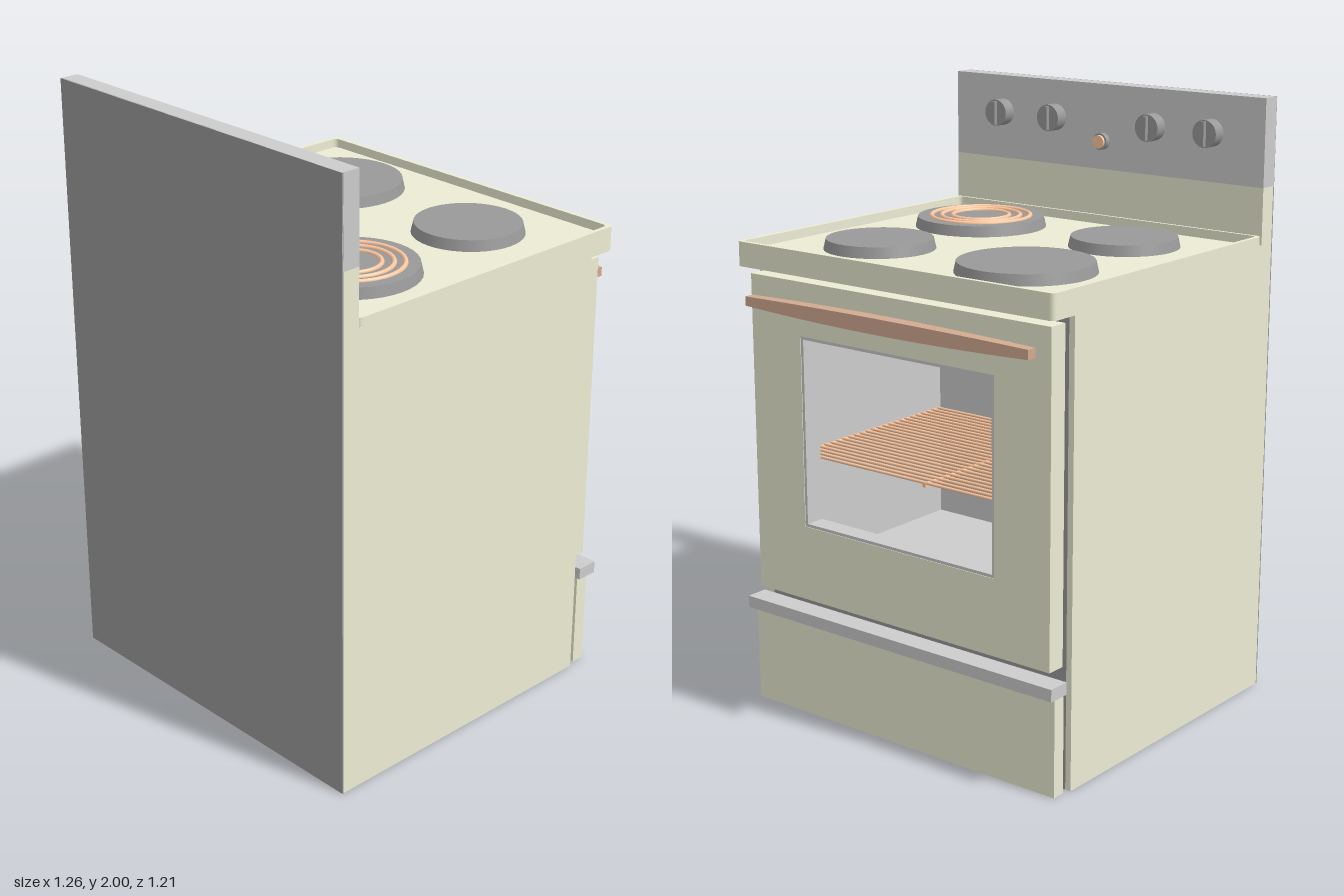
import * as THREE from 'three';

const mat = (color) => new THREE.MeshStandardMaterial({ color });
const grey = mat(0xcccccc);
const dark = mat(0x999999);
const cream = mat(0xececd4);
const copper = mat(0xffc8a0);
const wood = mat(0xd2aa90);

export function createModel() {
  const model = new THREE.Group();

  const add = (name, geometry, material, parent = model) => {
    const mesh = new THREE.Mesh(geometry, material);
    mesh.name = name;
    parent.add(mesh);
    return mesh;
  };
  // Box given by its lower and upper limits on each axis
  const box = (name, material, x0, x1, y0, y1, z0, z1, parent) => {
    const mesh = add(name, new THREE.BoxGeometry(x1 - x0, y1 - y0, z1 - z0), material, parent);
    mesh.position.set((x0 + x1) / 2, (y0 + y1) / 2, (z0 + z1) / 2);
    return mesh;
  };
  // Trace a rectangle with rounded corners
  const roundRect = (path, x0, x1, y0, y1, r) => {
    path.moveTo(x0 + r, y0);
    path.lineTo(x1 - r, y0);
    path.quadraticCurveTo(x1, y0, x1, y0 + r);
    path.lineTo(x1, y1 - r);
    path.quadraticCurveTo(x1, y1, x1 - r, y1);
    path.lineTo(x0 + r, y1);
    path.quadraticCurveTo(x0, y1, x0, y1 - r);
    path.lineTo(x0, y0 + r);
    path.quadraticCurveTo(x0, y0, x0 + r, y0);
    return path;
  };
  const rect = (path, [x0, x1, y0, y1]) => {
    path.moveTo(x0, y0);
    path.lineTo(x1, y0);
    path.lineTo(x1, y1);
    path.lineTo(x0, y1);
    path.closePath();
    return path;
  };
  // Upright plate with a rectangular opening
  const frame = (name, material, outer, inner, z0, z1, parent) => {
    const shape = rect(new THREE.Shape(), outer);
    shape.holes.push(rect(new THREE.Path(), inner));
    const geometry = new THREE.ExtrudeGeometry(shape, { depth: z1 - z0, bevelEnabled: false });
    add(name, geometry, material, parent).position.z = z0;
  };

  // Cabinet shell
  for (const s of [-1, 1]) {
    const a = s * 0.61, b = s * 0.63;
    box('sidePanel', cream, Math.min(a, b), Math.max(a, b), 0, 1.53, -0.46, 0.6);
  }
  box('bottomPanel', dark, -0.61, 0.61, 0, 0.02, -0.46, 0.6);
  box('backPanel', dark, -0.63, 0.63, 0, 2, 0.6, 0.605);
  frame('frontFrame', dark, [-0.61, 0.61, 0.02, 1.48], [-0.55, 0.55, 0.45, 1.38], -0.46, -0.44);

  // Oven cavity
  const oven = new THREE.Group();
  oven.name = 'ovenCavity';
  model.add(oven);
  box('ovenFloor', grey, -0.56, 0.56, 0.44, 0.45, -0.44, 0.345, oven);
  box('ovenCeiling', dark, -0.56, 0.56, 1.38, 1.39, -0.44, 0.345, oven);
  box('ovenBack', grey, -0.55, 0.55, 0.45, 1.38, 0.335, 0.345, oven);
  for (const s of [-1, 1]) {
    box('ovenSide', grey, s * 0.555 - 0.005, s * 0.555 + 0.005, 0.45, 1.38, -0.44, 0.345, oven);
  }

  // Wire rack
  const rack = new THREE.Group();
  rack.name = 'ovenRack';
  oven.add(rack);
  for (let i = 0; i <= 24; i++) {
    const wire = add('rackWire', new THREE.CylinderGeometry(0.005, 0.005, 1.08, 6), copper, rack);
    wire.rotation.z = Math.PI / 2;
    wire.position.set(0, 0.84, -0.39 + i * 0.029);
  }
  for (const x of [-0.54, 0, 0.54]) box('rackBar', copper, x - 0.007, x + 0.007, 0.826, 0.838, -0.395, 0.31, rack);

  // Heating element under the ceiling
  const loop = [[0.25, 0.33], [0.25, 0.1], [0.25, -0.18], [0.17, -0.29], [0, -0.3],
    [-0.17, -0.29], [-0.25, -0.18], [-0.25, 0.1], [-0.25, 0.33]];
  const loopCurve = new THREE.CatmullRomCurve3(loop.map(([x, z]) => new THREE.Vector3(x, 1.33, z)));
  add('heatingElement', new THREE.TubeGeometry(loopCurve, 60, 0.01, 8), copper, oven);

  // Oven door with window opening and bowed handle
  const door = new THREE.Group();
  door.name = 'ovenDoor';
  model.add(door);
  frame('doorPanel', cream, [-0.6, 0.6, 0.4, 1.455], [-0.39, 0.39, 0.65, 1.28], -0.53, -0.465);
  frame('windowFrame', grey, [-0.39, 0.39, 0.65, 1.28], [-0.38, 0.38, 0.66, 1.27], -0.528, -0.462, door);

  const bar = new THREE.BoxGeometry(1.13, 0.05, 0.045, 24, 1, 1);
  const p = bar.attributes.position;
  for (let i = 0; i < p.count; i++) {
    const t = p.getX(i) / 0.565;
    p.setY(i, p.getY(i) * (1 - 0.4 * t * t));
    if (p.getZ(i) < 0) p.setZ(i, p.getZ(i) + 0.012 * t * t);
  }
  bar.computeVertexNormals();
  add('doorHandle', bar, wood, door).position.set(0, 1.38, -0.5825);
  for (const x of [-0.45, 0.45]) {
    const post = add('handlePost', new THREE.CylinderGeometry(0.01, 0.01, 0.04, 12), grey, door);
    post.rotation.x = Math.PI / 2;
    post.position.set(x, 1.38, -0.545);
  }

  // Storage drawer
  box('drawerFront', cream, -0.62, 0.62, 0, 0.325, -0.53, -0.485);
  box('drawerHandle', grey, -0.63, 0.63, 0.325, 0.365, -0.56, -0.485);
  box('drawerBody', grey, -0.57, 0.57, 0.06, 0.28, -0.485, -0.46);

  // Cooktop tray with raised rim; shape y becomes -z
  const rim = roundRect(new THREE.Shape(), -0.63, 0.63, -0.54, 0.56, 0.02);
  rim.holes.push(roundRect(new THREE.Path(), -0.615, 0.615, -0.53, 0.545, 0.02));
  const rimGeometry = new THREE.ExtrudeGeometry(rim, { depth: 0.08, bevelEnabled: false });
  rimGeometry.rotateX(-Math.PI / 2);
  add('cooktopRim', rimGeometry, cream).position.y = 1.48;
  box('cooktop', cream, -0.62, 0.62, 1.485, 1.53, -0.55, 0.54);
  box('cooktopUnderside', dark, -0.615, 0.615, 1.48, 1.485, -0.545, -0.46);

  // Burners, one with an exposed coil
  const burners = [[-0.29, -0.25, 0.22], [0.3, -0.25, 0.18], [-0.29, 0.26, 0.18], [0.3, 0.26, 0.22]];
  for (const [x, z, r] of burners) {
    const burner = add('burner', new THREE.CylinderGeometry(r - 0.008, r, 0.035, 40), dark);
    burner.position.set(x, 1.5475, z);
  }
  for (const r of [0.095, 0.132, 0.166]) {
    const coil = add('burnerCoil', new THREE.TorusGeometry(r, 0.008, 8, 48), copper);
    coil.rotation.x = Math.PI / 2;
    coil.position.set(0.3, 1.565, 0.26);
  }

  // Backsplash and control panel
  box('backsplash', cream, -0.63, 0.63, 1.48, 1.715, 0.54, 0.6);
  box('controlPanel', grey, -0.63, 0.63, 1.715, 2, 0.54, 0.604);

  // Control knobs with grips
  for (const x of [-0.43, -0.205, 0.2, 0.425]) {
    const knob = new THREE.Group();
    knob.name = 'knob';
    knob.position.set(x, 1.875, 0);
    model.add(knob);
    const dial = add('knobDial', new THREE.CylinderGeometry(0.045, 0.045, 0.045, 28), dark, knob);
    dial.rotation.x = Math.PI / 2;
    dial.position.z = 0.5175;
    box('knobGrip', dark, -0.007, 0.007, -0.04, 0.04, 0.48, 0.5, knob);
  }

  // Indicator lamp
  for (const [name, r, z, m] of [['lampBase', 0.028, 0.53, dark], ['lampLens', 0.022, 0.52, copper]]) {
    const lamp = add(name, new THREE.CylinderGeometry(r, r, 0.02, 20), m);
    lamp.rotation.x = Math.PI / 2;
    lamp.position.set(0, 1.81, z);
  }

  return model;
}
